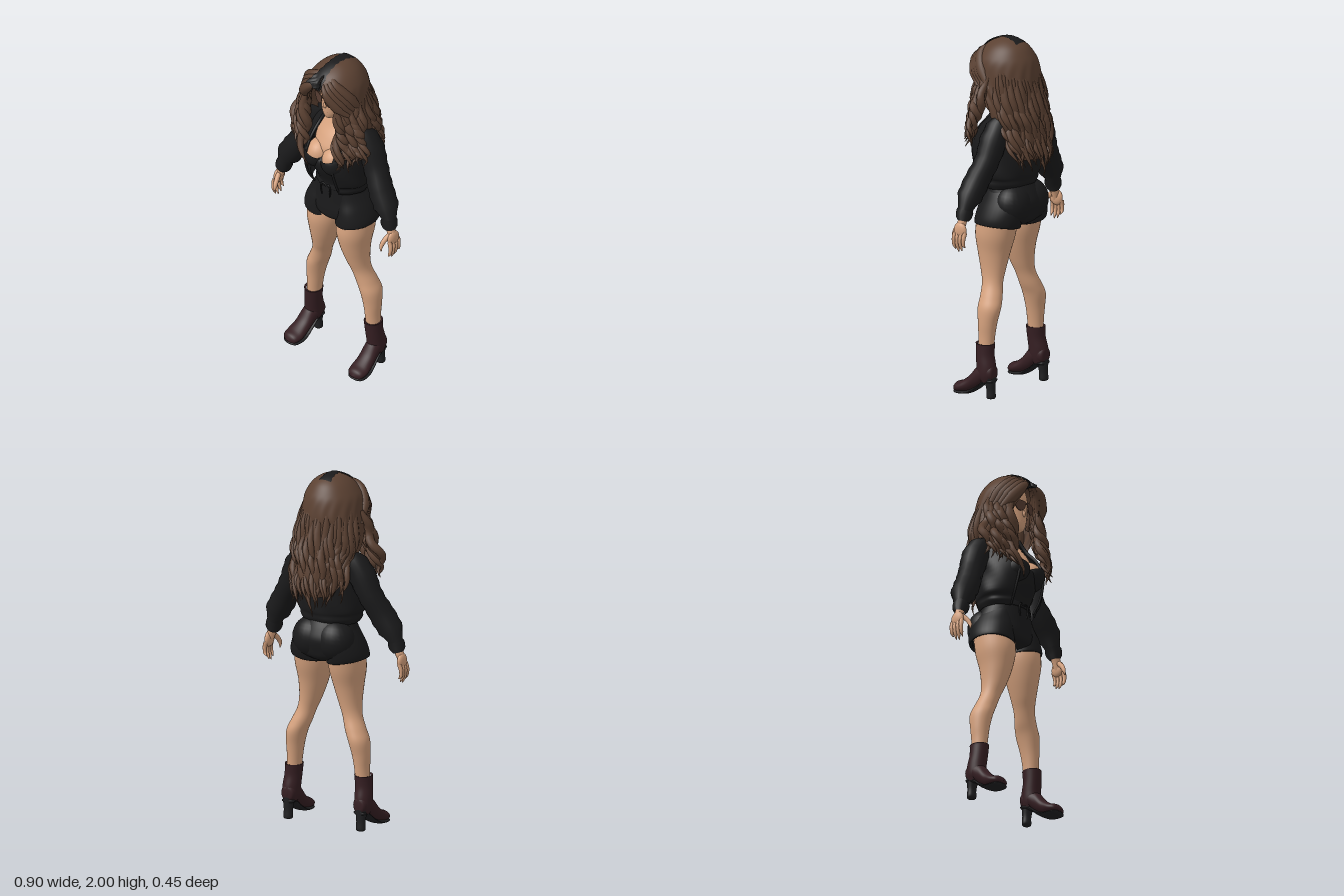
import * as THREE from 'three';

const V = (x, y, z) => new THREE.Vector3(x, y, z);
const CX = 0.02; // body centre line

const mat = (name, color, side = THREE.FrontSide) => {
  const m = new THREE.MeshStandardMaterial({ color, side });
  m.name = name;
  return m;
};

// Smooth skin over horizontal ellipses [y, x, z, rx, rz, frontGapDegrees], listed bottom to top
function loft(rings, { seg = 32, steps = 5, warp } = {}) {
  const centres = new THREE.CatmullRomCurve3(rings.map(r => V(r[1], r[0], r[2])), false, 'catmullrom');
  const sizes = new THREE.CatmullRomCurve3(rings.map(r => V(r[3], r[4], (r[5] || 0) * Math.PI / 180)), false, 'catmullrom');
  const open = rings.some(r => r[5]);
  const n = (rings.length - 1) * steps, cols = open ? seg + 1 : seg;
  const pos = [], idx = [];
  for (let i = 0; i <= n; i++) {
    const c = centres.getPoint(i / n), s = sizes.getPoint(i / n);
    const gap = Math.max(0, s.z);
    for (let j = 0; j < cols; j++) {
      const a = gap + (2 * Math.PI - 2 * gap) * j / seg;
      const k = warp ? warp(a, c.y) : 1;
      pos.push(c.x + Math.max(s.x, 0) * k * Math.sin(a), c.y, c.z + Math.max(s.y, 0) * k * Math.cos(a));
    }
  }
  for (let i = 0; i < n; i++) for (let j = 0; j < seg; j++) {
    const k = (j + 1) % cols, p = i * cols, q = p + cols;
    idx.push(p + j, p + k, q + k, p + j, q + k, q + j);
  }
  const g = new THREE.BufferGeometry();
  g.setAttribute('position', new THREE.Float32BufferAttribute(pos, 3));
  g.setIndex(idx);
  g.computeVertexNormals();
  return g;
}

// Tube whose radius follows a list of values along its length
function taper(points, radii, { n = 24, seg = 10, ripple = 0 } = {}) {
  const curve = new THREE.CatmullRomCurve3(points);
  const g = new THREE.TubeGeometry(curve, n, 1, seg), p = g.attributes.position, v = V();
  for (let i = 0; i <= n; i++) {
    const c = curve.getPointAt(i / n), f = i / n * (radii.length - 1), k = Math.min(Math.floor(f), radii.length - 2);
    const r = THREE.MathUtils.lerp(radii[k], radii[k + 1], f - k) * (1 + ripple * Math.sin(i * 1.1));
    for (let j = 0; j <= seg; j++) {
      const q = i * (seg + 1) + j;
      v.fromBufferAttribute(p, q).sub(c).multiplyScalar(r).add(c);
      p.setXYZ(q, v.x, v.y, v.z);
    }
  }
  return g;
}

export function createModel() {
  const root = new THREE.Group();
  root.name = 'woman';
  const skin = mat('skin', 0xd6a27e), black = mat('black cloth', 0x1a1a1b, THREE.DoubleSide);
  const hair = mat('brown hair', 0x5b4132, THREE.DoubleSide), boot = mat('burgundy leather', 0x361f23);
  const sole = mat('sole black', 0x202022), lens = mat('tinted lens', 0x553c31, THREE.DoubleSide);
  const lip = mat('lips', 0xc68c72);
  const add = (name, g, m) => {
    const mesh = new THREE.Mesh(g, m);
    mesh.name = name;
    root.add(mesh);
    return mesh;
  };
  const ball = (name, m, x, y, z, sx, sy, sz) => {
    const b = add(name, new THREE.SphereGeometry(1, 24, 16), m);
    b.position.set(x, y, z);
    b.scale.set(sx, sy, sz);
    return b;
  };
  let seed = 7;
  const rnd = () => (seed = (seed * 16807) % 2147483647) / 2147483647;

  // Head, neck and chest
  add('head', loft([[1.645, 0.018, 0.1, 0, 0], [1.65, 0.018, 0.095, 0.025, 0.035], [1.68, 0.018, 0.08, 0.05, 0.062],
    [1.72, 0.018, 0.062, 0.068, 0.083], [1.78, 0.018, 0.05, 0.08, 0.096], [1.85, 0.018, 0.04, 0.085, 0.105],
    [1.92, 0.018, 0.035, 0.065, 0.08], [1.96, 0.018, 0.035, 0, 0]]), skin);
  add('neckAndChest', loft([[1.34, CX, 0.02, 0.12, 0.11], [1.43, CX, 0.03, 0.135, 0.13], [1.5, CX, 0.02, 0.135, 0.11],
    [1.56, CX, 0.008, 0.115, 0.078], [1.6, CX, 0.012, 0.06, 0.054], [1.64, CX, 0.025, 0.043, 0.045], [1.7, CX, 0.035, 0.043, 0.045]]), skin);
  ball('nose', skin, 0.018, 1.742, 0.141, 0.011, 0.02, 0.014);
  for (const y of [1.697, 1.705]) ball('lip', lip, 0.018, y, 0.137, 0.021, 0.005, 0.007);

  // Sunglasses: drop-shaped lenses with a flat brow
  const drop = new THREE.Shape();
  drop.moveTo(-0.034, 0.026);
  drop.bezierCurveTo(-0.02, 0.032, 0.02, 0.032, 0.036, 0.024);
  drop.bezierCurveTo(0.042, -0.012, 0.022, -0.036, 0, -0.034);
  drop.bezierCurveTo(-0.022, -0.032, -0.036, -0.005, -0.034, 0.026);
  for (const s of [-1, 1]) {
    const x = 0.018 + s * 0.041;
    const l = add('lens', new THREE.ExtrudeGeometry(drop, { depth: 0.004, bevelEnabled: false, curveSegments: 10 }), lens);
    l.position.set(x, 1.782, 0.149);
    l.rotation.y = s * 0.3;
    add('templeArm', taper([V(x + s * 0.034, 1.797, 0.142), V(x + s * 0.048, 1.795, 0.04)], [0.003, 0.003]), lens);
  }
  add('glassesBridge', taper([V(0.003, 1.796, 0.157), V(0.018, 1.8, 0.16), V(0.033, 1.796, 0.157)], [0.003, 0.003]), lens);

  // Top: bodice with a bust whose upper part is bare
  add('topBodice', loft([[1.14, CX, 0.01, 0.135, 0.115], [1.22, CX, 0.018, 0.13, 0.125], [1.32, CX, 0.04, 0.142, 0.15],
    [1.38, CX, 0.045, 0.15, 0.152], [1.41, CX, 0.038, 0.15, 0.118]]), black);
  for (const s of [-1, 1]) {
    ball('bust', skin, CX + s * 0.056, 1.39, 0.115, 0.074, 0.08, 0.086);
    const cup = add('topCup', new THREE.SphereGeometry(1, 28, 16, 0, Math.PI * 2, Math.PI * 0.4, Math.PI * 0.6), black);
    cup.position.set(CX + s * 0.064, 1.385, 0.115);
    cup.scale.set(0.082, 0.09, 0.105);
    cup.rotation.z = s * 0.3;
  }

  // Open bomber jacket
  add('jacketBody', loft([[1.165, CX, 0.018, 0.165, 0.13, 33], [1.19, CX, 0.02, 0.178, 0.146, 33], [1.215, CX, 0.02, 0.18, 0.148, 33],
    [1.25, CX, 0.03, 0.195, 0.165, 32], [1.38, CX, 0.042, 0.19, 0.18, 31], [1.48, CX, 0.02, 0.185, 0.155, 32],
    [1.56, CX, -0.008, 0.16, 0.11, 38], [1.6, CX, -0.005, 0.105, 0.087, 46], [1.64, CX, 0, 0.075, 0.07, 55]],
    { seg: 64, warp: (a, y) => 1 + 0.015 * Math.sin(a * 7 + y * 40) }), black);
  for (const s of [-1, 1]) add('jacketFrontEdge', taper([V(CX + s * 0.092, 1.17, 0.128), V(CX + s * 0.104, 1.25, 0.17),
    V(CX + s * 0.1, 1.38, 0.196), V(CX + s * 0.1, 1.48, 0.15), V(CX + s * 0.095, 1.56, 0.078), V(CX + s * 0.07, 1.63, 0.045)],
    [0.006, 0.007, 0.007, 0.008, 0.01, 0.01]), black);

  // Shorts
  add('shortsHips', loft([[0.945, CX, 0, 0.03, 0.09], [0.975, CX, 0, 0.15, 0.138], [1.02, CX, -0.005, 0.2, 0.15],
    [1.08, CX, -0.012, 0.182, 0.153], [1.14, CX, -0.003, 0.16, 0.14], [1.2, CX, 0.012, 0.14, 0.12], [1.22, CX, 0.012, 0.134, 0.114]],
    { seg: 40 }), black);
  add('waistband', loft([[1.175, CX, 0.01, 0.15, 0.127], [1.18, CX, 0.01, 0.153, 0.13], [1.21, CX, 0.012, 0.143, 0.124],
    [1.215, CX, 0.012, 0.134, 0.116]]), black);
  for (const s of [-1, 1]) {
    add('waistTie', taper([V(CX, 1.19, 0.136), V(CX + s * 0.025, 1.195, 0.141), V(CX + s * 0.035, 1.16, 0.142), V(CX + s * 0.028, 1.12, 0.14)],
      [0.005, 0.005, 0.005, 0.004]), black);
    ball('seat', black, CX + s * 0.072, 1.07, -0.062, 0.115, 0.118, 0.104);
    const x = 0.022 + s * 0.114, cuff = loft([[0.955, x, 0.01, 0.1, 0.115], [0.95, x, 0.01, 0.112, 0.134], [0.985, x, 0.004, 0.109, 0.139],
      [1.04, x - s * 0.008, -0.004, 0.098, 0.138], [1.1, x - s * 0.026, -0.01, 0.088, 0.128], [1.16, x - s * 0.04, 0, 0.07, 0.11]]);
    const p = cuff.attributes.position;
    for (let i = 0; i < p.count; i++) p.setY(i, p.getY(i) + s * (p.getX(i) - x) * 0.16); // hem rises outward
    cuff.computeVertexNormals();
    add('shortsLeg', cuff, black);
  }

  // Legs and heeled boots
  for (const s of [-1, 1]) {
    const at = x => 0.028 + s * x;
    add('leg', loft([[0.26, at(0.22), 0, 0.04, 0.043], [0.34, at(0.215), 0, 0.042, 0.048], [0.42, at(0.21), -0.002, 0.05, 0.056],
      [0.5, at(0.197), -0.004, 0.058, 0.068], [0.56, at(0.172), 0.002, 0.058, 0.064], [0.63, at(0.145), 0.015, 0.054, 0.06],
      [0.7, at(0.126), 0.025, 0.063, 0.073], [0.8, at(0.112), 0.03, 0.082, 0.096], [0.9, at(0.108), 0.024, 0.1, 0.118],
      [1.0, at(0.106), 0.01, 0.1, 0.12]]), skin);
    add('bootShaft', loft([[0.09, at(0.232), -0.018, 0.035, 0.04], [0.13, at(0.232), -0.012, 0.047, 0.056], [0.18, at(0.23), -0.008, 0.049, 0.057],
      [0.24, at(0.226), 0.002, 0.048, 0.053], [0.295, at(0.222), 0.004, 0.049, 0.055], [0.305, at(0.222), 0.004, 0.05, 0.055],
      [0.3, at(0.222), 0.004, 0.038, 0.042]]), boot);
    // sections run heel to toe, then are laid along z
    const lay = (name, rings, m) => {
      const mesh = add(name, loft(rings.map(([z, h, rx, ry]) => [z, 0, -h, rx, ry])).rotateX(Math.PI / 2), m);
      mesh.position.x = at(0.232);
      mesh.rotation.y = s * 0.06;
    };
    lay('bootFoot', [[-0.068, 0.14, 0, 0], [-0.06, 0.142, 0.036, 0.044], [-0.01, 0.142, 0.046, 0.055], [0.04, 0.11, 0.047, 0.062],
      [0.09, 0.066, 0.051, 0.046], [0.14, 0.042, 0.056, 0.033], [0.18, 0.033, 0.044, 0.026], [0.197, 0.028, 0, 0]], boot);
    lay('bootSole', [[-0.066, 0.1, 0, 0], [-0.06, 0.1, 0.034, 0.012], [-0.01, 0.088, 0.036, 0.012], [0.04, 0.048, 0.041, 0.012],
      [0.09, 0.019, 0.05, 0.012], [0.14, 0.011, 0.055, 0.011], [0.18, 0.011, 0.044, 0.011], [0.198, 0.013, 0, 0]], sole);
    add('bootHeel', loft([[0, at(0.232), -0.044, 0, 0], [0.001, at(0.232), -0.044, 0.026, 0.024], [0.05, at(0.232), -0.042, 0.026, 0.024],
      [0.12, at(0.232), -0.035, 0.036, 0.034]]), sole);
  }

  // Puffed sleeves and hands
  for (const s of [-1, 1]) {
    const P = (x, y, z) => V(0.005 + s * x, y, z);
    add('sleeve', taper([P(0.1, 1.565, -0.015), P(0.15, 1.53, -0.02), P(0.2, 1.46, -0.02), P(0.25, 1.35, -0.012), P(0.31, 1.24, 0.012),
      P(0.364, 1.15, 0.025), P(0.392, 1.085, 0.033)], [0.03, 0.068, 0.077, 0.07, 0.068, 0.072, 0.07, 0.036], { n: 48, seg: 20, ripple: 0.025 }), black);
    add('sleeveCuff', taper([P(0.38, 1.1, 0.033), P(0.393, 1.065, 0.035), P(0.403, 1.03, 0.035)], [0.036, 0.047, 0.047, 0.043, 0.03],
      { seg: 18 }), black);
    add('wrist', taper([P(0.395, 1.06, 0.035), P(0.411, 1.015, 0.038), P(0.424, 0.97, 0.04)], [0.025, 0.025, 0.02]), skin);
    ball('palm', skin, 0.005 + s * 0.424, 0.98, 0.038, 0.02, 0.046, 0.042);
    for (let k = 0; k < 4; k++) {
      const z = 0.07 - 0.022 * k, tip = [0.868, 0.855, 0.862, 0.885][k];
      add('finger', taper([P(0.426, 0.97, z), P(0.436, 0.935, z + 0.003), P(0.434, 0.9, z + 0.004), P(0.42, tip, z + 0.002)],
        [0.012, 0.0125, 0.011, 0.01, 0.002]), skin);
    }
    add('thumb', taper([P(0.412, 1.005, 0.055), P(0.4, 0.97, 0.09), P(0.396, 0.94, 0.106), P(0.4, 0.913, 0.11)],
      [0.014, 0.014, 0.012, 0.003]), skin);
  }

  // Hair: parted shell, long at the back
  const crown = [add('hairShell', loft([[1.34, CX, -0.1, 0.105, 0.095, 112], [1.46, CX, -0.08, 0.16, 0.13, 95], [1.6, 0.01, -0.025, 0.182, 0.155, 62],
    [1.7, 0.01, 0.015, 0.18, 0.168, 40], [1.78, 0.012, 0.028, 0.174, 0.182, 30], [1.86, 0.015, 0.037, 0.162, 0.177, 16],
    [1.91, 0.018, 0.035, 0.138, 0.152, 3], [1.955, 0.02, 0.03, 0.1, 0.112, 0], [1.985, 0.02, 0.025, 0.052, 0.056, 0], [1.995, 0.02, 0.025, 0, 0, 0]],
    { seg: 120, warp: (a, y) => 1 + 0.03 * THREE.MathUtils.clamp((1.9 - y) * 4, 0, 1) * Math.sin(a * 17 + 2 * Math.sin(y * 22)) }), hair)];

  // Wavy lock through three guide points
  const lock = (a, b, c, r, amp) => {
    const guide = new THREE.QuadraticBezierCurve3(a, b, c), ph = rnd() * 6.3, f = 11 + 7 * rnd(), pts = [];
    for (let i = 0; i <= 16; i++) {
      const t = i / 16, w = amp * Math.min(1, t * 2);
      pts.push(guide.getPoint(t).add(V(w * Math.sin(t * f + ph), 0, w * 0.8 * Math.cos(t * f + ph))));
    }
    add('hairLock', taper(pts, [r * 0.5, r, r, r * 0.9, r * 0.6, 0.001], { n: 40, seg: 8 }), hair);
  };
  for (const s of [-1, 1]) {
    // fringe swept away from the parting
    for (let k = 0; k < 4; k++) crown.push(add('fringe', taper([V(0.018 + s * 0.014, 1.912 + 0.012 * k, 0.178 - 0.02 * k), V(0.015 + s * (0.06 + 0.008 * k), 1.875 + 0.013 * k, 0.197 - 0.018 * k),
      V(0.012 + s * (0.11 + 0.01 * k), 1.815 + 0.012 * k, 0.177 - 0.022 * k), V(0.01 + s * (0.16 + 0.004 * k), 1.73, 0.12 - 0.03 * k)],
      [0.008, 0.03, 0.034, 0.012]), hair));
    // side locks falling over the chest and shoulders
    for (let k = 0; k < 14; k++) {
      const u = k / 13, inner = s < 0 ? 0.075 : 0.15, outer = s < 0 ? 0.26 : 0.285, low = s < 0 ? 1.32 : 1.35;
      lock(V(0.01 + s * (0.11 + 0.055 * u), 1.8, 0.16 - 0.12 * u), V(s * (0.14 + 0.1 * u), 1.61, 0.155 - 0.08 * u),
        V(s * (inner + (outer - inner) * u), low + 0.06 * u + 0.06 * rnd(), 0.205 - 0.1 * u), 0.018 + 0.009 * rnd(), 0.024);
    }
  }
  // back locks, longest in the middle
  for (let k = 0; k < 27; k++) {
    const a = Math.PI * (0.55 + 0.9 * k / 26), sx = Math.sin(a), cz = Math.cos(a);
    lock(V(0.015 + 0.155 * sx, 1.83, 0.025 + 0.15 * cz), V(CX + 0.2 * sx, 1.55, -0.025 + 0.17 * cz),
      V(CX + 0.15 * sx, 1.215 + 0.09 * Math.abs(sx) + 0.08 * rnd(), -0.135 + 0.08 * cz), 0.017 + 0.008 * rnd(), 0.015);
  }

  // Dark streak laid over the parting, ragged and wider at the front
  const streak = new THREE.PlaneGeometry(1, 1, 14, 44), sp = streak.attributes.position, ray = new THREE.Raycaster();
  for (let i = 0; i < sp.count; i++) {
    const t = 0.5 - sp.getY(i), z = -0.06 + 0.265 * t;
    const half = 0.037 - 0.012 * Math.sin(t * Math.PI) + 0.019 * t ** 4 + 0.003 * Math.sin(t * 47);
    const x = 0.017 - 0.024 * t * t + sp.getX(i) * 2 * half;
    ray.set(V(x + 0.0007, 3, z), V(0, -1, 0));
    const hit = ray.intersectObjects(crown)[0];
    sp.setXYZ(i, x, Math.max(hit ? hit.point.y : 0, 1.88) + 0.005, z + 0.008 * t);
  }
  streak.computeVertexNormals();
  add('hairStreak', streak, black);
  return root;
}
